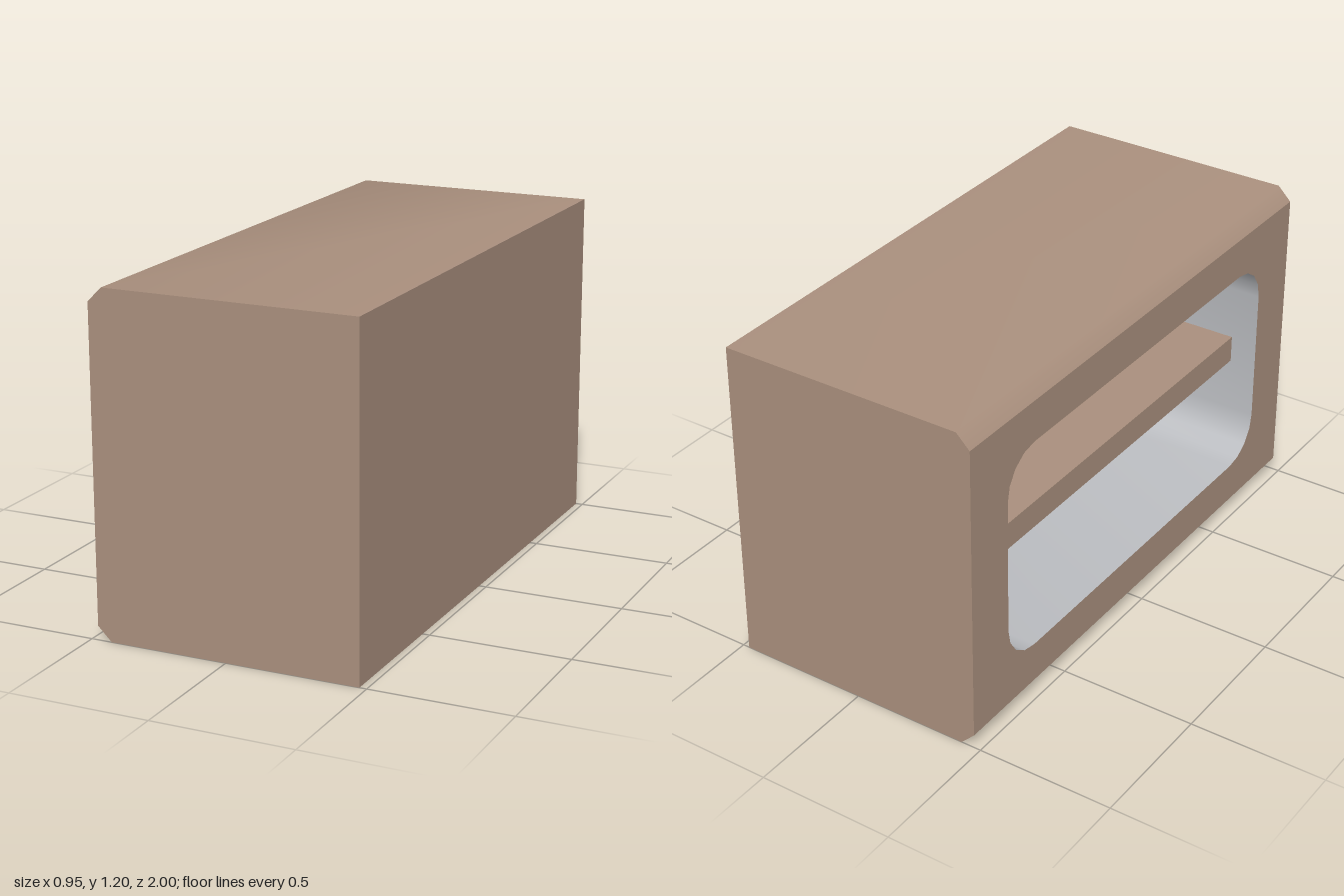
import * as THREE from 'three';
import { toCreasedNormals } from 'three/addons/utils/BufferGeometryUtils.js';

const HALF_W = 0.475, HALF_L = 1, HEIGHT = 1.2, BEVEL = 0.05, WALL = 0.1;

// Skin swept along z; a counter-clockwise profile faces outwards, a clockwise one inwards
function sweep(points, z0, z1) {
  const pos = [], index = [];
  points.forEach((p) => pos.push(p.x, p.y, z0, p.x, p.y, z1));
  for (let i = 0; i < points.length - 1; i++) {
    const a = 2 * i;
    index.push(a, a + 2, a + 3, a, a + 3, a + 1);
  }
  const geo = new THREE.BufferGeometry();
  geo.setAttribute('position', new THREE.Float32BufferAttribute(pos, 3));
  geo.setIndex(index);
  return toCreasedNormals(geo, 0.9);
}

// Rounded opening in (z, y), drawn counter-clockwise
function openingPath(target) {
  const w = 0.8, y0 = 0.2, y1 = 1.0, r = 0.15;
  target.moveTo(-w + r, y0);
  target.lineTo(w - r, y0);
  target.absarc(w - r, y0 + r, r, -Math.PI / 2, 0);
  target.lineTo(w, y1 - r);
  target.absarc(w - r, y1 - r, r, 0, Math.PI / 2);
  target.lineTo(-w + r, y1);
  target.absarc(-w + r, y1 - r, r, Math.PI / 2, Math.PI);
  target.lineTo(-w, y0 + r);
  target.absarc(-w + r, y0 + r, r, Math.PI, Math.PI * 1.5);
  return target;
}

export function createModel() {
  const group = new THREE.Group();
  const brown = new THREE.MeshStandardMaterial({ color: 0xa98f7d });
  brown.name = 'brown';
  const grey = new THREE.MeshStandardMaterial({ color: 0xbabcc0 });
  grey.name = 'lightGrey';

  const add = (name, geo, material) => {
    const mesh = new THREE.Mesh(geo, material);
    mesh.name = name;
    group.add(mesh);
    return mesh;
  };
  const faceMinusX = (geo, x) => geo.rotateY(-Math.PI / 2).translate(x, 0, 0);

  // Outer skin: bevels, bottom, side and top, open towards -x
  const profile = [
    [-HALF_W, BEVEL], [-HALF_W + BEVEL, 0], [HALF_W, 0],
    [HALF_W, HEIGHT], [-HALF_W + BEVEL, HEIGHT], [-HALF_W, HEIGHT - BEVEL],
  ].map(([x, y]) => new THREE.Vector2(x, y));
  add('outerShell', sweep(profile, -HALF_L, HALF_L), brown);

  // End panels
  const mirrored = profile.map((p) => new THREE.Vector2(-p.x, p.y));
  add('frontPanel', new THREE.ShapeGeometry(new THREE.Shape(profile)).translate(0, 0, HALF_L), brown);
  add('backPanel', new THREE.ShapeGeometry(new THREE.Shape(mirrored)).rotateY(Math.PI).translate(0, 0, -HALF_L), brown);

  // Open side panel with the rounded hole
  const frame = new THREE.Shape([
    new THREE.Vector2(-HALF_L, BEVEL), new THREE.Vector2(HALF_L, BEVEL),
    new THREE.Vector2(HALF_L, HEIGHT - BEVEL), new THREE.Vector2(-HALF_L, HEIGHT - BEVEL),
  ]);
  frame.holes.push(openingPath(new THREE.Path()));
  add('openingFrame', faceMinusX(new THREE.ShapeGeometry(frame, 2), -HALF_W), brown);

  // Smooth lining and inner wall of the recess
  const opening = openingPath(new THREE.Shape());
  const inward = opening.getPoints(2).reverse();
  add('recessLining', faceMinusX(sweep(inward, -HALF_W + WALL, HALF_W), 0), grey);
  add('recessBack', faceMinusX(new THREE.ShapeGeometry(opening, 2), HALF_W - WALL), grey);

  // Shelf set slightly back from the opening
  const shelf = add('shelf', new THREE.BoxGeometry(2 * (HALF_W - WALL), 0.1, 1.6), brown);
  shelf.position.y = HEIGHT / 2;

  return group;
}
